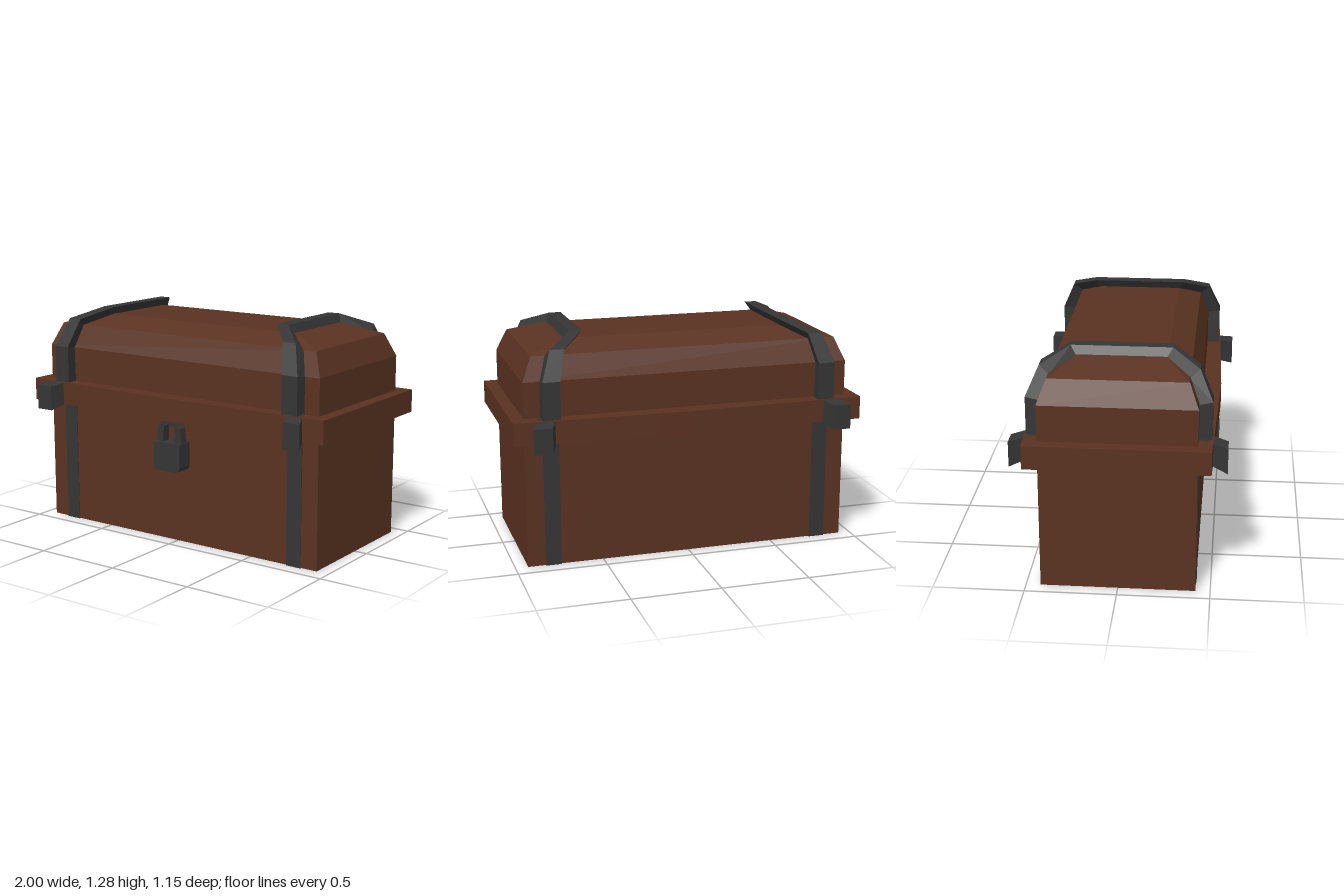
import * as THREE from 'three';

const wood = new THREE.MeshStandardMaterial({ color: 0x5a3221, flatShading: true });
const iron = new THREE.MeshStandardMaterial({ color: 0x353535, flatShading: true });

// Closed solid through equal-length loops of points, capped at both ends, faces outward.
function loft(sections) {
  const tris = [];
  const n = sections[0].length;
  for (let s = 0; s < sections.length - 1; s++) {
    const a = sections[s], b = sections[s + 1];
    for (let i = 0; i < n; i++) {
      const j = (i + 1) % n;
      tris.push([a[i], a[j], b[j]], [a[i], b[j], b[i]]);
    }
  }
  const first = sections[0], last = sections[sections.length - 1];
  for (let i = 1; i < n - 1; i++) {
    tris.push([first[0], first[i + 1], first[i]], [last[0], last[i], last[i + 1]]);
  }
  // Signed volume tells whether the winding has to be reversed
  let volume = 0;
  for (const t of tris) {
    const [a, b, c] = t.map((p) => new THREE.Vector3(...p));
    volume += a.dot(b.cross(c));
  }
  if (volume < 0) tris.forEach((t) => t.reverse());
  const geometry = new THREE.BufferGeometry();
  geometry.setAttribute('position', new THREE.Float32BufferAttribute(tris.flat(2), 3));
  geometry.computeVertexNormals();
  return geometry;
}

// Rectangle in the xz plane at height y
const ring = (x, y, z) => [[x, y, z], [x, y, -z], [-x, y, -z], [-x, y, z]];

export function createModel() {
  const chest = new THREE.Group();
  chest.name = 'chest';
  const add = (name, geometry, material, parent = chest) => {
    const mesh = new THREE.Mesh(geometry, material);
    mesh.name = name;
    parent.add(mesh);
    return mesh;
  };

  // Box and faceted lid
  add('body', new THREE.BoxGeometry(1.86, 0.73, 0.84), wood).position.y = 0.368;
  add('lid', loft([ring(0.93, 0.8, 0.42), ring(0.93, 1.05, 0.42),
    ring(0.875, 1.18, 0.37), ring(0.67, 1.24, 0.24)]), wood);

  // Rim, slightly bowed along front and back
  const bow = [[1, 0.493], [0.2, 0.515], [0, 0.52], [-0.2, 0.515], [-1, 0.493]];
  const outline = [...bow, ...bow.map(([x, z]) => [-x, -z])];
  add('rim', loft([0.72, 0.85].map((y) => outline.map(([x, z]) => [x, y, z]))), wood);

  // Lid strap stations: outer edge z, y, x range, then inner edge z, y, x range
  const stations = [
    { out: [0.49, 0.8, 0.74, 0.837], inn: [0.415, 0.8, 0.745, 0.84] },
    { out: [0.49, 1.06, 0.74, 0.837], inn: [0.415, 1.045, 0.75, 0.84] },
    { out: [0.42, 1.22, 0.7, 0.78], inn: [0.365, 1.175, 0.72, 0.8] },
    { out: [0.27, 1.285, 0.57, 0.64], inn: [0.24, 1.235, 0.6, 0.665] },
  ];

  for (const side of [1, -1]) {
    const straps = new THREE.Group();
    straps.name = side > 0 ? 'leftStraps' : 'rightStraps';
    chest.add(straps);

    const station = ({ out, inn }, f) => [
      [side * out[2], out[1], f * out[0]], [side * out[3], out[1], f * out[0]],
      [side * inn[3], inn[1], f * inn[0]], [side * inn[2], inn[1], f * inn[0]],
    ];
    add('lidStrap', loft([
      ...stations.map((s) => station(s, 1)),
      ...[...stations].reverse().map((s) => station(s, -1)),
    ]), iron, straps);

    // Thin band down the front, under the base and up the back
    add('bodyStrap', new THREE.BoxGeometry(0.09, 0.73, 0.846), iron, straps)
      .position.set(side * 0.785, 0.365, 0);

    // Clasps flaring outward over the rim
    for (const f of [1, -1]) {
      const section = (x0, x1, y0, y1, z) => [
        [side * x0, y0, f * z], [side * x1, y0, f * z],
        [side * x1, y1, f * z], [side * x0, y1, f * z],
      ];
      add(f > 0 ? 'frontClasp' : 'backClasp', loft([
        section(0.74, 0.84, 0.74, 0.858, 0.415),
        section(0.77, 0.87, 0.718, 0.848, 0.49),
        section(0.803, 0.907, 0.69, 0.832, 0.575),
      ]), iron, straps);
    }
  }

  // Padlock
  const padlock = new THREE.Group();
  padlock.name = 'padlock';
  chest.add(padlock);
  const face = new THREE.Shape([
    [-0.09, 0.595], [-0.09, 0.46], [-0.082, 0.439], [-0.06, 0.43],
    [0.06, 0.43], [0.082, 0.439], [0.09, 0.46], [0.09, 0.595],
  ].map(([x, y]) => new THREE.Vector2(x, y)));
  add('lockBody', new THREE.ExtrudeGeometry(face, { depth: 0.095, bevelEnabled: false }), iron, padlock)
    .position.z = 0.42;

  const shackle = new THREE.Shape([
    [-0.085, 0.59], [-0.075, 0.68], [-0.045, 0.712], [0, 0.72], [0.045, 0.712],
    [0.075, 0.68], [0.085, 0.59], [0.04, 0.59], [0.036, 0.685], [0, 0.698],
    [-0.036, 0.685], [-0.04, 0.59],
  ].map(([x, y]) => new THREE.Vector2(x, y)));
  add('shackle', new THREE.ExtrudeGeometry(shackle, { depth: 0.05, bevelEnabled: false }), iron, padlock)
    .position.z = 0.44;

  return chest;
}
